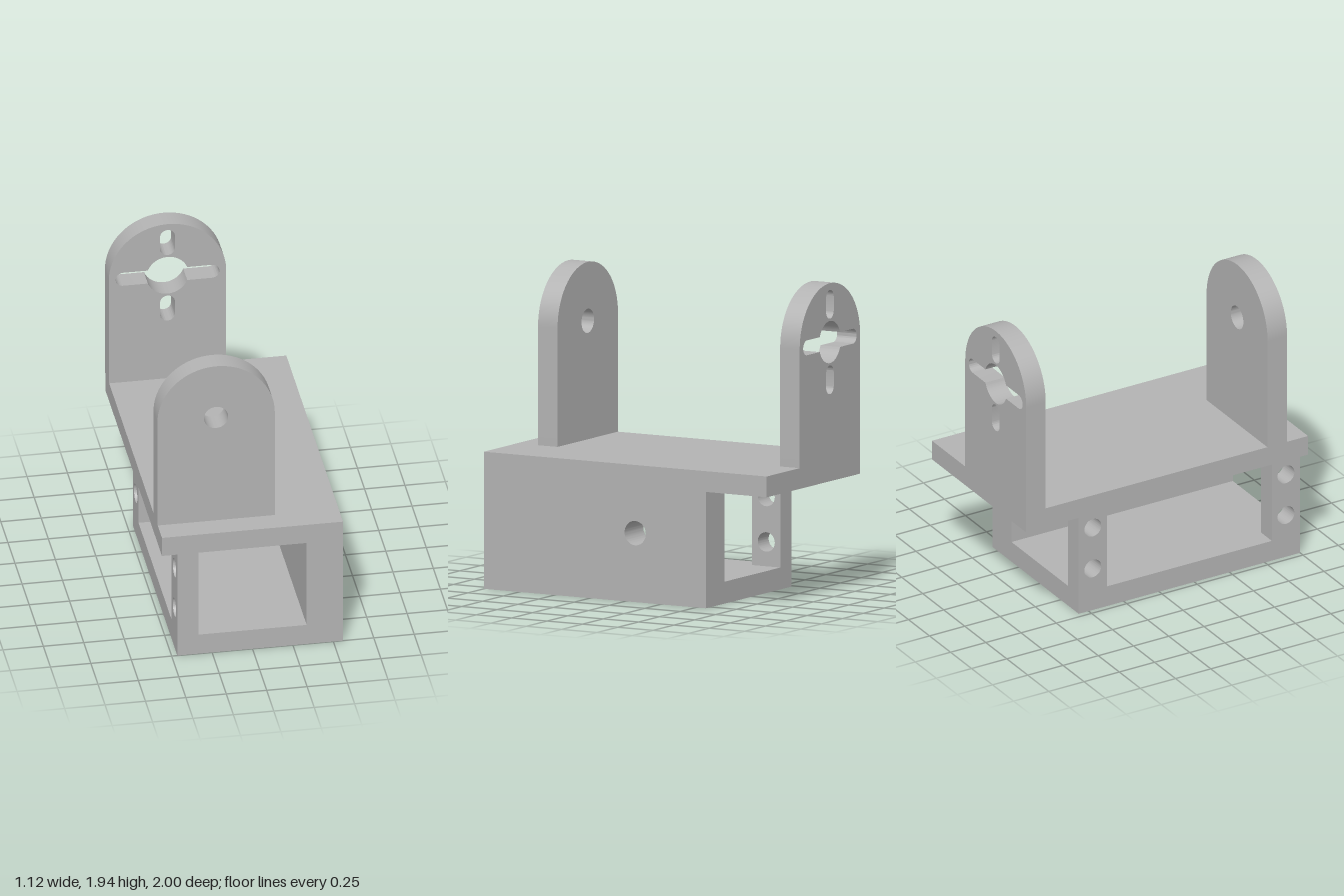
import * as THREE from 'three';
import { toCreasedNormals } from 'three/addons/utils/BufferGeometryUtils.js';

const PI = Math.PI;

export function createModel() {
  const group = new THREE.Group();
  const grey = new THREE.MeshStandardMaterial({ color: 0xb3b3b3 });
  grey.name = 'plain grey';

  const add = (name, geometry) => {
    const mesh = new THREE.Mesh(geometry, grey);
    mesh.name = name;
    group.add(mesh);
    return mesh;
  };

  // Box given by its limits
  const block = (name, [x0, x1], [y0, y1], [z0, z1]) =>
    add(name, new THREE.BoxGeometry(x1 - x0, y1 - y0, z1 - z0))
      .position.set((x0 + x1) / 2, (y0 + y1) / 2, (z0 + z1) / 2);

  const extrude = (shape, depth) => toCreasedNormals(
    new THREE.ExtrudeGeometry(shape, { depth, bevelEnabled: false, curveSegments: 32 }), 0.5);

  const circle = (x, y, r) => new THREE.Path().absarc(x, y, r, 0, 2 * PI, false);

  // Upright wall lying in the y-z plane, drilled along x; holes are [z, y, radius]
  const drilledWall = (name, [x0, x1], [y0, y1], [z0, z1], holes) => {
    const s = new THREE.Shape();
    s.moveTo(-z1, y0).lineTo(-z0, y0).lineTo(-z0, y1).lineTo(-z1, y1).closePath();
    for (const [z, y, r] of holes) s.holes.push(circle(-z, y, r));
    const g = extrude(s, x1 - x0);
    g.rotateY(PI / 2);
    add(name, g).position.x = x0;
  };

  // Open box under an overhanging plate
  const inner = [0.135, 0.717];
  block('topPlate', [-0.56, 0.56], [0.717, 0.845], [-1, 1]);
  block('floor', [-0.465, 0.56], [0, 0.135], [-0.57, 1]);
  drilledWall('sideWall', [0.335, 0.56], inner, [-0.57, 1], [[-0.07, 0.425, 0.075]]);

  // Two drilled posts leave a window in the other side
  for (const [name, z0, z1] of [['frontPost', 0.8, 1], ['backPost', -0.57, -0.37]]) {
    const z = (z0 + z1) / 2;
    drilledWall(name, [-0.465, -0.335], inner, [z0, z1], [[z, 0.285, 0.06], [z, 0.565, 0.06]]);
  }

  // Round-topped brackets, drawn around the centre of their hole
  const R = 0.363;
  const bracket = (name, z, holes) => {
    const s = new THREE.Shape();
    s.moveTo(-R, -0.73).lineTo(R, -0.73).lineTo(R, 0).absarc(0, 0, R, 0, PI, false).closePath();
    s.holes.push(...holes);
    add(name, extrude(s, 0.138)).position.set(-0.199, 1.575, z);
  };

  bracket('frontBracket', 0.712, [circle(0, 0, 0.075)]);

  // Back bracket: bore with side slots running into it, plus separate upper and lower slots
  const w = 0.046, bore = 0.13, end = 0.275, a = Math.asin(w / bore);
  const boreWithSlots = new THREE.Path();
  boreWithSlots.absarc(0, 0, bore, a, PI - a, false);
  boreWithSlots.absarc(-end, 0, w, PI / 2, 1.5 * PI, false);
  boreWithSlots.absarc(0, 0, bore, PI + a, 2 * PI - a, false);
  boreWithSlots.absarc(end, 0, w, -PI / 2, PI / 2, false);
  boreWithSlots.closePath();

  const verticalSlot = (y0, y1) => {
    const p = new THREE.Path();
    p.absarc(0, y1, w, 0, PI, false);
    p.absarc(0, y0, w, PI, 2 * PI, false);
    return p.closePath();
  };
  bracket('backBracket', -1, [boreWithSlots, verticalSlot(0.19, end), verticalSlot(-end, -0.19)]);

  return group;
}
